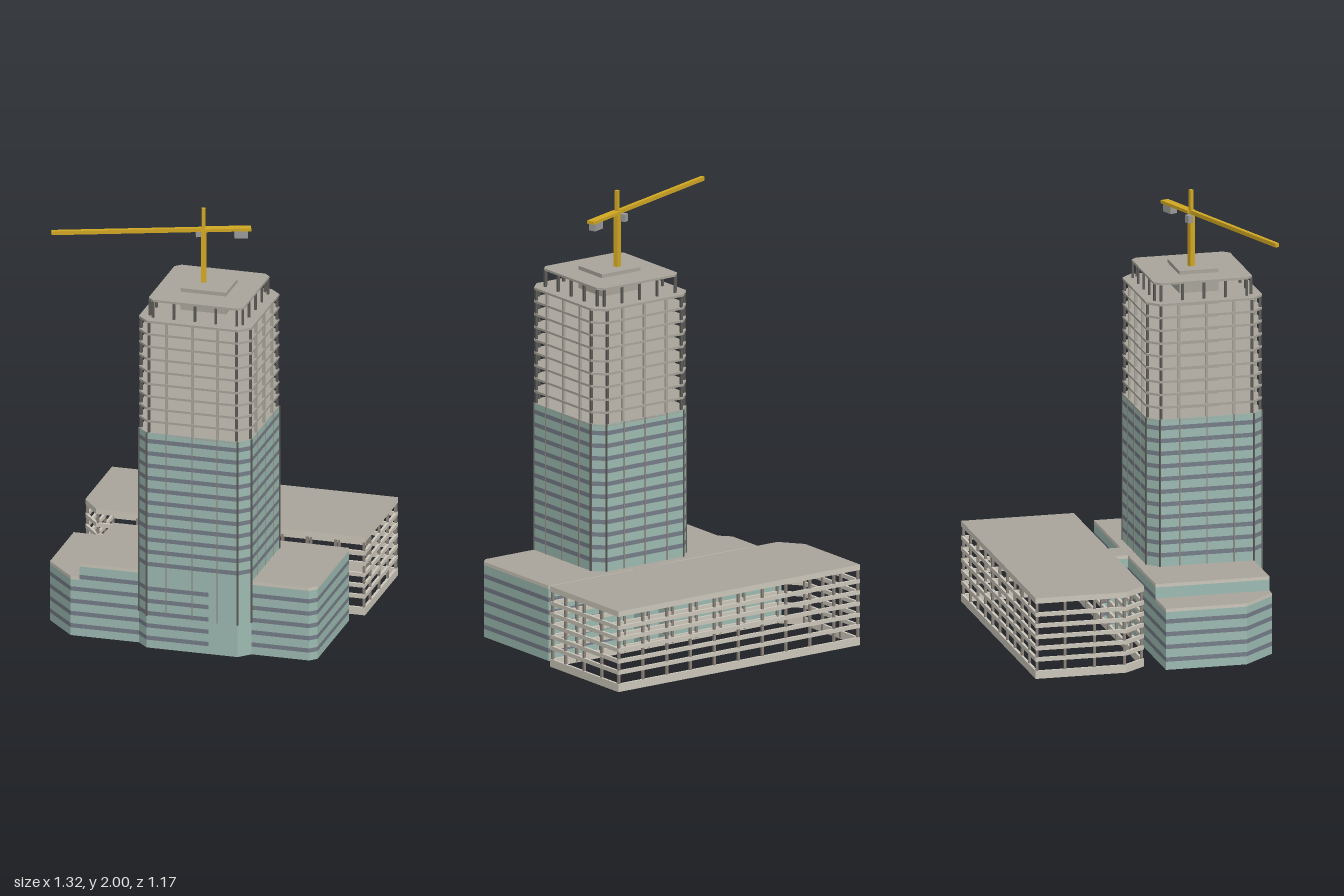
import * as THREE from 'three';

const mat = (name, color, side = THREE.FrontSide) => {
  const m = new THREE.MeshStandardMaterial({ color, side });
  m.name = name;
  return m;
};

export function createModel() {
  const glass = mat('green glass', 0x9cbab1, THREE.DoubleSide);
  const spandrel = mat('slate spandrel', 0x757d88, THREE.DoubleSide);
  const concrete = mat('concrete', 0xa8a49a);
  const pale = mat('pale concrete', 0xcbc6ba);
  const dark = mat('dark column', 0x5c5b56);
  const mullion = mat('taupe mullion', 0x8c837b);
  const yellow = mat('crane yellow', 0xd0a722);
  const grey = mat('counterweight grey', 0x9a9a98);

  const model = new THREE.Group();
  model.name = 'buildingUnderConstruction';
  const group = (name, parent = model) => {
    const g = new THREE.Group();
    g.name = name;
    parent.add(g);
    return g;
  };
  const add = (parent, name, geo, material) => {
    const m = new THREE.Mesh(geo, material);
    m.name = name;
    parent.add(m);
    return m;
  };
  const box = (parent, name, material, w, h, d, x, y, z) =>
    add(parent, name, new THREE.BoxGeometry(w, h, d).translate(x, y, z), material);

  // Horizontal plate from an [x, z] outline, optionally with a hole
  const plate = (parent, name, pts, y0, y1, material, hole) => {
    const v = (a) => a.map(([x, z]) => new THREE.Vector2(x, -z));
    const shape = new THREE.Shape(v(pts));
    if (hole) shape.holes.push(new THREE.Path(v(hole)));
    const geo = new THREE.ExtrudeGeometry(shape, { depth: y1 - y0, bevelEnabled: false });
    return add(parent, name, geo.rotateX(-Math.PI / 2).translate(0, y0, 0), material);
  };

  // Vertical wall along an [x, z] path, striped with spandrel bands at each floor
  const FLOOR = 0.0583, BAND = 0.02;
  const strip = (pts, levels) => {
    const p = [];
    for (let i = 0; i + 1 < pts.length; i++) {
      const [ax, az] = pts[i], [bx, bz] = pts[i + 1];
      for (const [a, b] of levels)
        p.push(ax, a, az, bx, a, bz, bx, b, bz, ax, a, az, bx, b, bz, ax, b, az);
    }
    const geo = new THREE.BufferGeometry();
    geo.setAttribute('position', new THREE.Float32BufferAttribute(p, 3));
    geo.computeVertexNormals();
    return geo;
  };
  const curtainWall = (parent, name, pts, y0, y1, banded = true) => {
    const panes = [], bands = [];
    let y = y0;
    for (let k = 0; banded && k < 18; k++) {
      const a = 0.037 + k * FLOOR, b = a + BAND;
      if (a <= y0 || b >= y1) continue;
      panes.push([y, a]);
      bands.push([a, b]);
      y = b;
    }
    panes.push([y, y1]);
    add(parent, name + 'Glass', strip(pts, panes), glass);
    if (bands.length) add(parent, name + 'Bands', strip(pts, bands), spandrel);
  };

  // Chamfered rectangle outline, running anticlockwise from above
  const octagon = (x0, x1, z0, z1, c) => [
    [x0, z0 + c], [x0, z1 - c], [x0 + c, z1], [x1 - c, z1],
    [x1, z1 - c], [x1, z0 + c], [x1 - c, z0], [x0 + c, z0]];

  // Podium: low west wing, main block, bay below the tower
  const podium = group('podium');
  curtainWall(podium, 'westWing',
    [[-0.48, 0.01], [-0.66, 0.01], [-0.66, 0.38], [-0.52, 0.53], [-0.48, 0.53]], 0, 0.265);
  plate(podium, 'westRoof',
    [[-0.66, 0.01], [-0.66, 0.38], [-0.52, 0.53], [-0.48, 0.53], [-0.48, 0.01]], 0.265, 0.28, [concrete, pale]);
  curtainWall(podium, 'stepWall', [[-0.48, 0.01], [-0.48, 0.53]], 0.28, 0.33, false);
  curtainWall(podium, 'frontWall', [[-0.48, 0.53], [-0.205, 0.53]], 0, 0.33);
  curtainWall(podium, 'towerBase', [[-0.205, 0.53], [-0.155, 0.58], [0.13, 0.58]], 0, 0.33);
  curtainWall(podium, 'entrance', [[0.13, 0.58], [0.265, 0.58], [0.315, 0.53]], 0, 0.33, false);
  curtainWall(podium, 'eastWall',
    [[0.315, 0.53], [0.58, 0.53], [0.61, 0.5], [0.61, 0.01], [-0.48, 0.01]], 0, 0.33);
  plate(podium, 'mainRoof',
    [[-0.48, 0.01], [-0.48, 0.53], [0.58, 0.53], [0.61, 0.5], [0.61, 0.01]], 0.33, 0.345, [concrete, pale]);

  // Link to the rear building
  const link = group('link');
  for (const x of [0.012, 0.145]) curtainWall(link, 'linkSide', [[x, 0.01], [x, -0.07]], 0, 0.33);
  plate(link, 'linkRoof', [[0.012, -0.07], [0.012, 0.01], [0.145, 0.01], [0.145, -0.07]], 0.33, 0.345, [concrete, pale]);

  // Glazed tower shaft
  const tower = group('tower');
  const ring = octagon(-0.205, 0.315, 0.05, 0.58, 0.05);
  curtainWall(tower, 'shaft', [...ring, ring[0]], 0.33, 1.02);
  const faceX = [-0.065, 0.055, 0.17], faceZ = [0.19, 0.315, 0.44];
  for (const [x, z] of ring) {
    const y0 = z > 0.5 ? 0.15 : 0.34;
    box(tower, 'cornerMullion', dark, 0.007, 1.02 - y0, 0.007, x, (1.02 + y0) / 2, z);
  }
  for (const x of faceX) {
    box(tower, 'frontMullion', mullion, 0.005, 0.87, 0.005, x, 0.585, 0.58);
    box(tower, 'rearMullion', mullion, 0.005, 0.68, 0.005, x, 0.68, 0.05);
  }
  for (const z of faceZ) for (const x of [-0.205, 0.315])
    box(tower, 'sideMullion', mullion, 0.005, 0.68, 0.005, x, 0.68, z);

  // Unfinished storeys: slabs, perimeter columns, core
  const frame = group('openFrame');
  for (let i = 0; i < 10; i++) {
    const y = 1.02 + i * 0.0589;
    plate(frame, 'floorSlab', ring, y - 0.01, y, concrete);
  }
  const column = (x, z, y0, y1, m, w = 0.011) =>
    box(frame, 'column', m, w, y1 - y0, w, x, (y0 + y1) / 2, z);
  for (const [x, z] of octagon(-0.197, 0.307, 0.058, 0.572, 0.05)) column(x, z, 1.02, 1.545, dark);
  for (const x of faceX) for (const z of [0.058, 0.572]) column(x, z, 1.02, 1.545, concrete);
  for (const z of faceZ) for (const x of [-0.197, 0.307]) column(x, z, 1.02, 1.545, concrete);
  plate(frame, 'topSlab', octagon(-0.165, 0.273, 0.088, 0.538, 0.026), 1.625, 1.635, concrete);
  for (const x of [-0.139, -0.042, 0.054, 0.15, 0.247])
    for (const z of [0.093, 0.533]) column(x, z, 1.55, 1.626, dark, 0.01);
  for (const z of [0.117, 0.215, 0.313, 0.411, 0.509])
    for (const x of [-0.16, 0.268]) column(x, z, 1.55, 1.626, dark, 0.01);
  box(frame, 'core', concrete, 0.21, 0.64, 0.178, 0.055, 1.332, 0.318);

  // Rear building: open shell of spandrel rings and columns under a roof
  const rear = group('rearBuilding');
  const shell = (d) => [
    [-0.66 + d, -0.585 + d], [-0.66 + d, -0.17 - d * 0.4], [-0.58 + d * 0.4, -0.07 - d],
    [0.66 - d, -0.07 - d], [0.66 - d, -0.585 + d]];
  const outer = shell(0), inner = shell(0.012);
  plate(rear, 'baseRing', outer, 0, 0.036, pale, inner);
  for (let i = 1; i < 6; i++) {
    const y = 0.036 + i * 0.0515;
    plate(rear, 'spandrelRing', outer, y - 0.009, y + 0.009, pale, inner);
  }
  plate(rear, 'rearRoof', outer, 0.345, 0.37, [concrete, pale]);
  const post = (x, z) => box(rear, 'post', mullion, 0.011, 0.34, 0.011, x, 0.175, z);
  for (let i = 0; i <= 10; i++) {
    const x = -0.652 + i * 0.1304;
    post(x, -0.577);
    if (i) post(i === 1 ? -0.574 : x, -0.079);
  }
  for (const z of [-0.45, -0.315, -0.178]) for (const x of [-0.652, 0.652]) post(x, z);

  // Tower crane, jib along local +x
  const crane = group('crane');
  crane.position.set(0.026, 0, 0.302);
  crane.rotation.y = Math.PI + 0.347;
  box(crane, 'mast', yellow, 0.024, 0.26, 0.024, 0, 1.77, 0);
  box(crane, 'mastHead', yellow, 0.017, 0.11, 0.017, 0, 1.945, 0);
  box(crane, 'jib', yellow, 0.675, 0.018, 0.019, 0.3375, 1.9, 0);
  box(crane, 'counterJib', yellow, 0.21, 0.014, 0.038, -0.105, 1.9, 0);
  box(crane, 'counterweight', grey, 0.06, 0.034, 0.034, -0.166, 1.876, 0);
  box(crane, 'cab', grey, 0.026, 0.034, 0.024, 0.02, 1.875, 0.025);

  return model;
}
